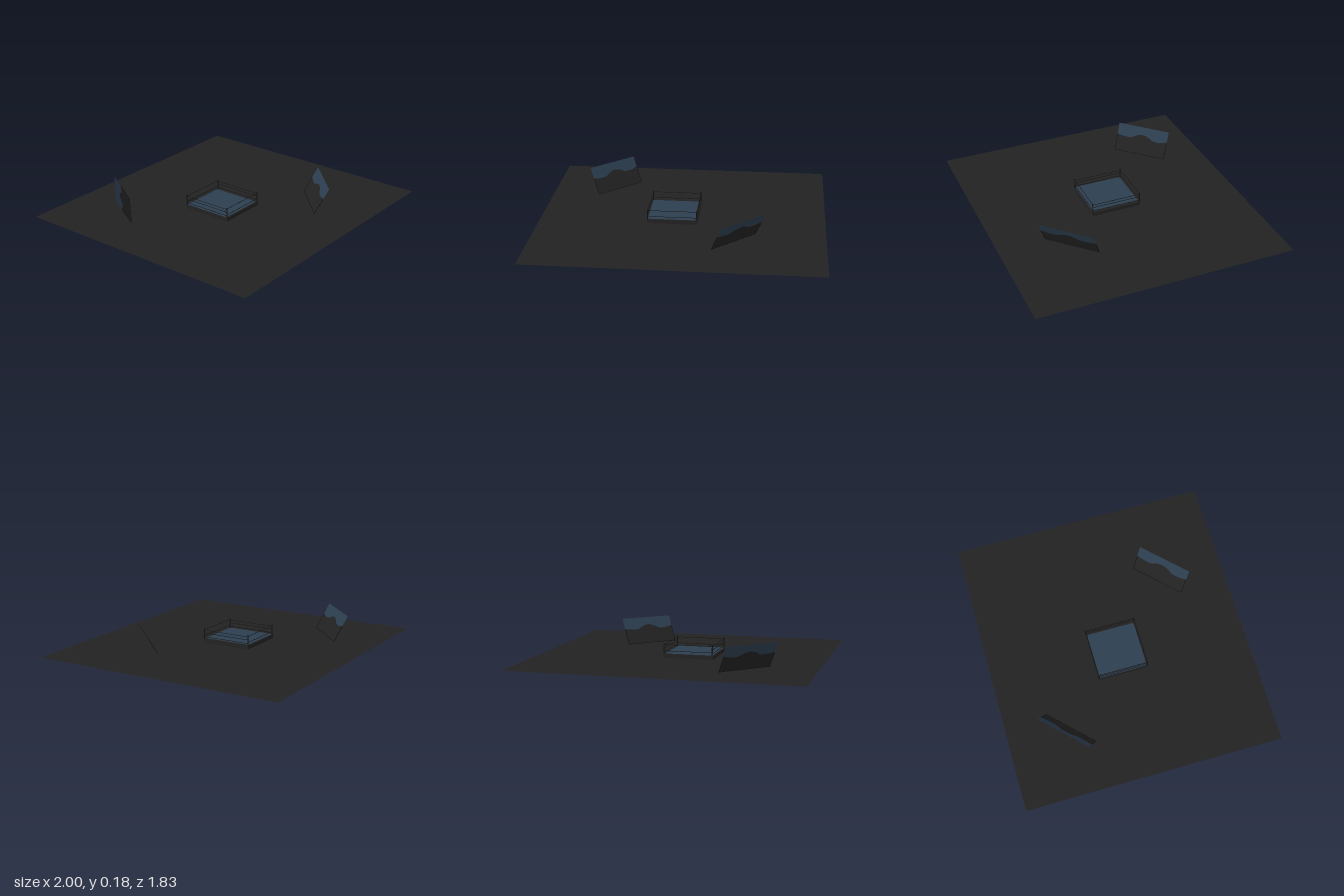
import * as THREE from 'three';

const charcoal = new THREE.MeshStandardMaterial({ name: 'charcoal', color: 0x222222, side: THREE.DoubleSide });
const slateBlue = new THREE.MeshStandardMaterial({ name: 'slateBlue', color: 0x2c3e50, side: THREE.DoubleSide });
const black = new THREE.MeshStandardMaterial({ name: 'black', color: 0x111111 });

function add(parent, name, geometry, material, x = 0, y = 0, z = 0) {
  const mesh = new THREE.Mesh(geometry, material);
  mesh.name = name;
  mesh.position.set(x, y, z);
  parent.add(mesh);
  return mesh;
}

// Leaning screen: a dark lower field and a blue upper field share a wavy border
function makeScreen(name, x, z, yaw) {
  const w = 0.4, h = 0.207, t = 0.004;
  const screen = new THREE.Group();
  screen.name = name;
  const wave = new THREE.SplineCurve([
    [-0.2, 0.125], [-0.15, 0.116], [-0.09, 0.116], [-0.045, 0.138], [0, 0.148],
    [0.045, 0.138], [0.09, 0.116], [0.15, 0.116], [0.2, 0.13],
  ].map(([a, b]) => new THREE.Vector2(a, b))).getPoints(40);
  const corner = (a, b) => new THREE.Vector2(a, b);
  const lower = new THREE.Shape([corner(w / 2, 0), corner(-w / 2, 0), ...wave]);
  const upper = new THREE.Shape([corner(w / 2, h), corner(-w / 2, h), ...wave]);
  add(screen, 'screenLower', new THREE.ShapeGeometry(lower), charcoal);
  add(screen, 'screenUpper', new THREE.ShapeGeometry(upper), slateBlue);

  // Thin frame around the dark field
  add(screen, 'frameBottom', new THREE.BoxGeometry(w, t, t), black, 0, t / 2, 0);
  for (const s of [-1, 1]) {
    add(screen, 'frameSide', new THREE.BoxGeometry(t, 0.12, t), black, s * (w / 2 - t / 2), 0.06, 0);
  }
  screen.rotation.order = 'YXZ';
  screen.rotation.set(-Math.atan2(0.1, 0.182), yaw, 0);
  screen.position.set(x, 0, z);
  return screen;
}

// Square ring with a mat, corner posts and ropes
function makeRing() {
  const ring = new THREE.Group();
  ring.name = 'ring';
  ring.position.set(-0.065, 0, -0.008);
  const w = 0.354, d = 0.364, px = 0.172, pz = 0.178;
  add(ring, 'platform', new THREE.BoxGeometry(w, 0.028, d), charcoal, 0, 0.015, 0);

  // Mat with rounded corners
  const mw = 0.168, md = 0.174, r = 0.014;
  const mat = new THREE.Shape();
  mat.absarc(mw - r, md - r, r, 0, Math.PI / 2);
  mat.absarc(-mw + r, md - r, r, Math.PI / 2, Math.PI);
  mat.absarc(-mw + r, -md + r, r, Math.PI, Math.PI * 1.5);
  mat.absarc(mw - r, -md + r, r, Math.PI * 1.5, Math.PI * 2);
  add(ring, 'mat', new THREE.ShapeGeometry(mat, 6), slateBlue, -0.007, 0.031, 0).rotation.x = -Math.PI / 2;

  for (const s of [-1, 1]) {
    for (const q of [-1, 1]) {
      add(ring, 'post', new THREE.CylinderGeometry(0.0035, 0.0035, 0.1, 10), black, s * px, 0.052, q * pz);
    }
    // Ropes along the front and back, then along both sides
    for (const y of [0.05, 0.094]) {
      add(ring, 'rope', new THREE.CylinderGeometry(0.0018, 0.0018, px * 2, 8), black, 0, y, s * pz)
        .rotation.z = Math.PI / 2;
    }
    for (const y of [0.042, 0.069, 0.09]) {
      add(ring, 'sideRope', new THREE.CylinderGeometry(0.0018, 0.0018, pz * 2, 8), black, s * px, y, 0)
        .rotation.x = Math.PI / 2;
    }
  }
  return ring;
}

export function createModel() {
  const model = new THREE.Group();
  model.name = 'arena';
  add(model, 'floor', new THREE.PlaneGeometry(2, 1.83), charcoal).rotation.x = -Math.PI / 2;
  model.add(makeRing());
  model.add(makeScreen('backScreen', -0.522, -0.467, Math.PI / 4));
  model.add(makeScreen('frontScreen', 0.377, 0.43, Math.PI * 1.25));
  return model;
}
